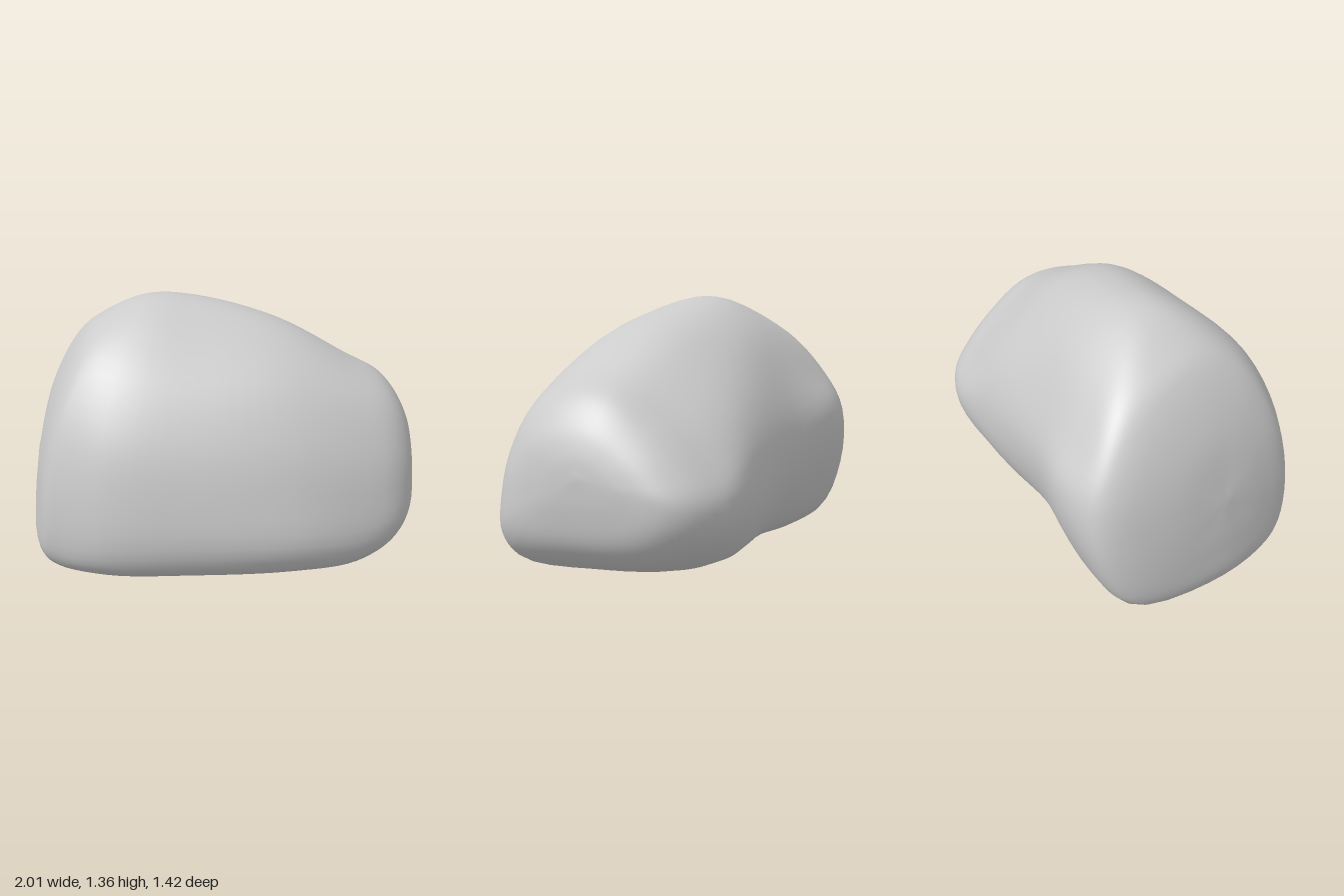
import * as THREE from 'three';
import { mergeVertices } from 'three/addons/utils/BufferGeometryUtils.js';

// Cross-sections of the boulder from its tall end (-x) to its low end (+x), as [z, y]
// running up the front, over the top, down the back and along the underside.
const tallEnd = [[.36, .04], [.47, .14], [.5, .46], [.44, .82], [.31, 1.1], [.09, 1.255], [-.18, 1.24],
  [-.4, 1.13], [-.57, .93], [-.67, .72], [-.65, .38], [-.5, .09], [0, .015]];
const shoulder = [[.52, .03], [.62, .16], [.62, .5], [.55, .8], [.39, 1.09], [.09, 1.325], [-.14, 1.335],
  [-.39, 1.18], [-.59, .92], [-.7, .73], [-.67, .39], [-.49, .06], [0, .015]];
const middle = [[.59, .04], [.69, .18], [.68, .48], [.61, .75], [.46, 1.02], [.11, 1.31], [-.14, 1.325],
  [-.36, 1.19], [-.53, .93], [-.63, .64], [-.57, .29], [-.4, .06], [0, .03]];
const slope = [[.59, .04], [.7, .18], [.68, .45], [.61, .72], [.45, 1.0], [.17, 1.205], [-.1, 1.205],
  [-.33, 1.05], [-.52, .83], [-.61, .58], [-.59, .29], [-.42, .06], [.1, .03]];
const lowEnd = [[.52, .05], [.62, .17], [.61, .42], [.55, .66], [.41, .9], [.18, 1.025], [-.07, 1.02],
  [-.31, .86], [-.5, .66], [-.61, .47], [-.57, .28], [-.37, .11], [.1, .04]];

const AROUND = 56;
const ALONG = 66;

// Smooth closed ring; leanY and leanZ push its upper and outer parts towards +x.
function ring(section, x, { scale = 1, scaleZ = scale, centre = 0.55, leanY = 0, leanZ = 0 } = {}) {
  const curve = new THREE.CatmullRomCurve3(section.map(([z, y]) => {
    const sy = centre + (y - centre) * scale;
    const sz = z * scaleZ;
    return new THREE.Vector3(x + leanY * sy ** 3 + leanZ * (sz + 0.1) ** 2, sy, sz);
  }), true);
  return Array.from({ length: AROUND }, (_, i) => curve.getPoint(i / AROUND));
}

function boulderGeometry() {
  const lean = { leanY: 0.18, leanZ: 0.25 };
  const rings = [
    // leaning, nearly flat face of the tall end
    ring(tallEnd, -1, { ...lean, scale: 0 }),
    ring(tallEnd, -1.005, { ...lean, scale: 0.5 }),
    ring(tallEnd, -1, { ...lean, scale: 0.88 }),
    ring(tallEnd, -0.95, lean),
    // body
    ring(shoulder, -0.62, { leanY: 0.1 }),
    ring(middle, -0.2, { leanY: 0.03 }),
    ring(slope, 0.3),
    ring(lowEnd, 0.65),
    // rounded low end
    ring(lowEnd, 0.84, { scale: 0.81, scaleZ: 0.87, centre: 0.48 }),
    ring(lowEnd, 0.94, { scale: 0.57, scaleZ: 0.69, centre: 0.49 }),
    ring(lowEnd, 0.985, { scale: 0.28, scaleZ: 0.38, centre: 0.54 }),
    ring(lowEnd, 1, { scale: 0, centre: 0.57 }),
  ];

  // Skin the rings lengthwise with smooth curves.
  const positions = [];
  for (let j = 0; j < AROUND; j++) {
    const curve = new THREE.CatmullRomCurve3(rings.map((r) => r[j]));
    for (let i = 0; i <= ALONG; i++) positions.push(...curve.getPoint(i / ALONG).toArray());
  }

  // Quads between neighbouring curves, single triangles where they meet at each end.
  const index = [];
  const id = (i, j) => (j % AROUND) * (ALONG + 1) + i;
  for (let j = 0; j < AROUND; j++) {
    for (let i = 0; i < ALONG; i++) {
      const a = id(i, j), b = id(i + 1, j), c = id(i + 1, j + 1), d = id(i, j + 1);
      if (i > 0) index.push(a, b, d);
      if (i < ALONG - 1) index.push(b, c, d);
    }
  }

  const geometry = new THREE.BufferGeometry();
  geometry.setAttribute('position', new THREE.Float32BufferAttribute(positions, 3));
  geometry.setIndex(index);
  const welded = mergeVertices(geometry, 1e-5);
  welded.computeVertexNormals();
  return welded;
}

export function createModel() {
  const group = new THREE.Group();
  group.name = 'rock';
  const boulder = new THREE.Mesh(boulderGeometry(), new THREE.MeshStandardMaterial({ color: 0xcccccc }));
  boulder.name = 'boulder';
  group.add(boulder);
  return group;
}
